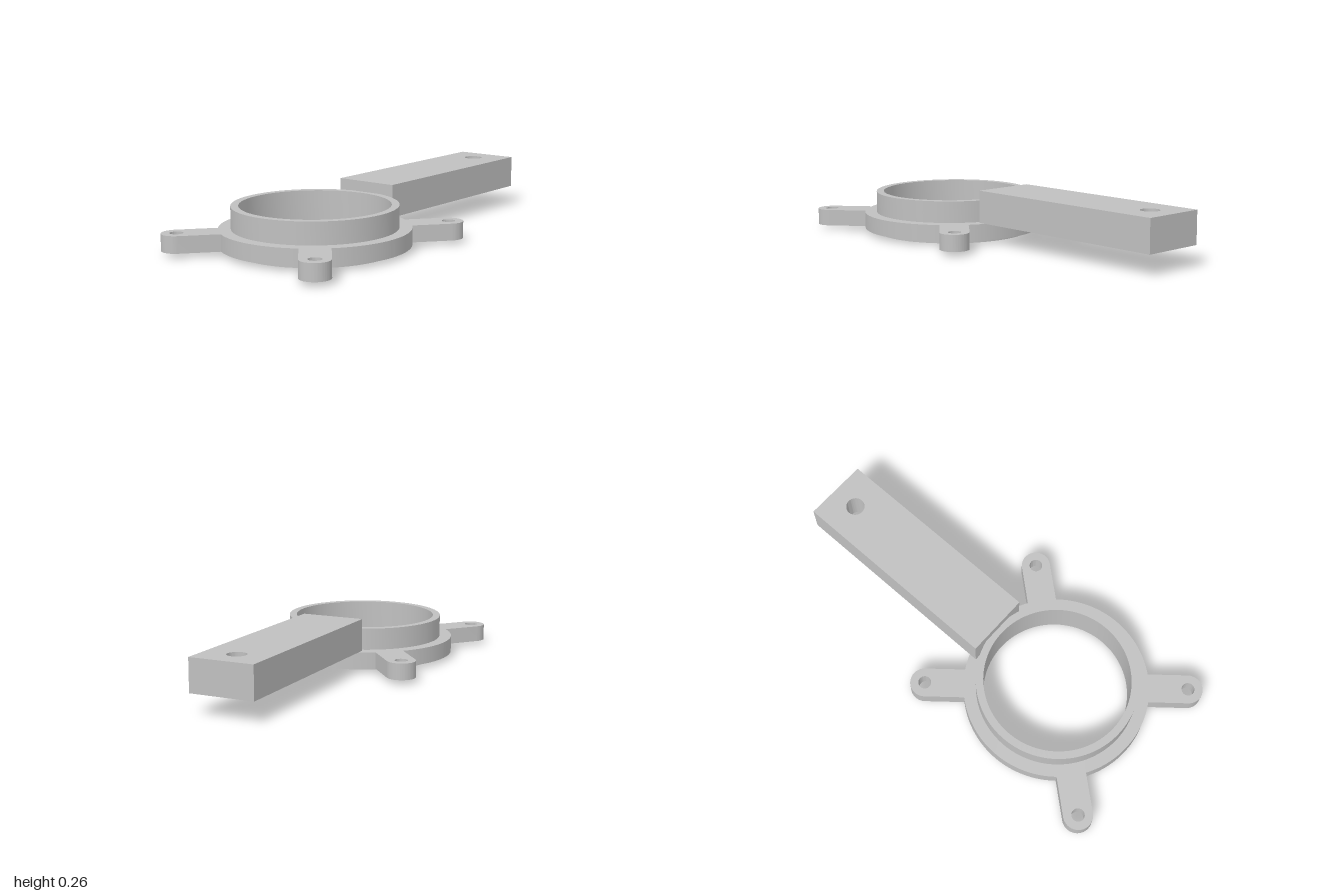
import * as THREE from 'three';
import { toCreasedNormals } from 'three/addons/utils/BufferGeometryUtils.js';

const CX = -0.4475; // centre of the ring

// Extrude a plan outline upward from y0 to y1
function slab(shape, y0, y1) {
  const geo = new THREE.ExtrudeGeometry(shape, { depth: y1 - y0, bevelEnabled: false, curveSegments: 32 });
  geo.rotateX(-Math.PI / 2);
  geo.translate(0, y0, 0);
  return toCreasedNormals(geo, 0.6);
}

function circleHole(x, y, r) {
  return new THREE.Path().absarc(x, y, r, 0, Math.PI * 2, true);
}

export function createModel() {
  const group = new THREE.Group();
  const grey = new THREE.MeshStandardMaterial({ color: 0xc0c0c0 });
  grey.name = 'grey';
  const add = (name, geo, x = 0) => {
    const mesh = new THREE.Mesh(geo, grey);
    mesh.name = name;
    mesh.position.x = x;
    group.add(mesh);
  };

  // Flange with four rounded, drilled mounting lugs
  const R = 0.445, lugR = 0.07, hx = 0.4825, hz = 0.407;
  const a0 = Math.atan2(hz, hx);
  const half = Math.asin(lugR / R);
  const angles = [a0, Math.PI - a0, Math.PI + a0, 2 * Math.PI - a0];
  const dist = Math.hypot(hx, hz);
  const flange = new THREE.Shape();
  angles.forEach((a, i) => {
    const next = i < 3 ? angles[i + 1] : angles[0] + 2 * Math.PI;
    const x = dist * Math.cos(a), y = dist * Math.sin(a);
    flange.absarc(x, y, lugR, a - Math.PI / 2, a + Math.PI / 2, false);
    flange.absarc(0, 0, R, a + half, next - half, false);
    flange.holes.push(circleHole(x, y, 0.031));
  });
  flange.holes.push(circleHole(0, 0, 0.37));
  add('flange', slab(flange, 0.02, 0.1), CX);

  // Tall collar through the flange
  const ri = 0.35, ro = 0.386, h = 0.205;
  const profile = [[ri, 0], [ro, 0], [ro, h], [ri, h], [ri, 0]].map(p => new THREE.Vector2(...p));
  add('collar', toCreasedNormals(new THREE.LatheGeometry(profile, 96), 0.6), CX);

  // Rectangular handle with a hole near its end
  const x0 = -0.07, x1 = 1, w = 0.157;
  const handle = new THREE.Shape([[x0, -w], [x1, -w], [x1, w], [x0, w]].map(p => new THREE.Vector2(...p)));
  handle.holes.push(circleHole(0.865, 0, 0.045));
  add('handle', slab(handle, 0.1, 0.257));

  return group;
}
